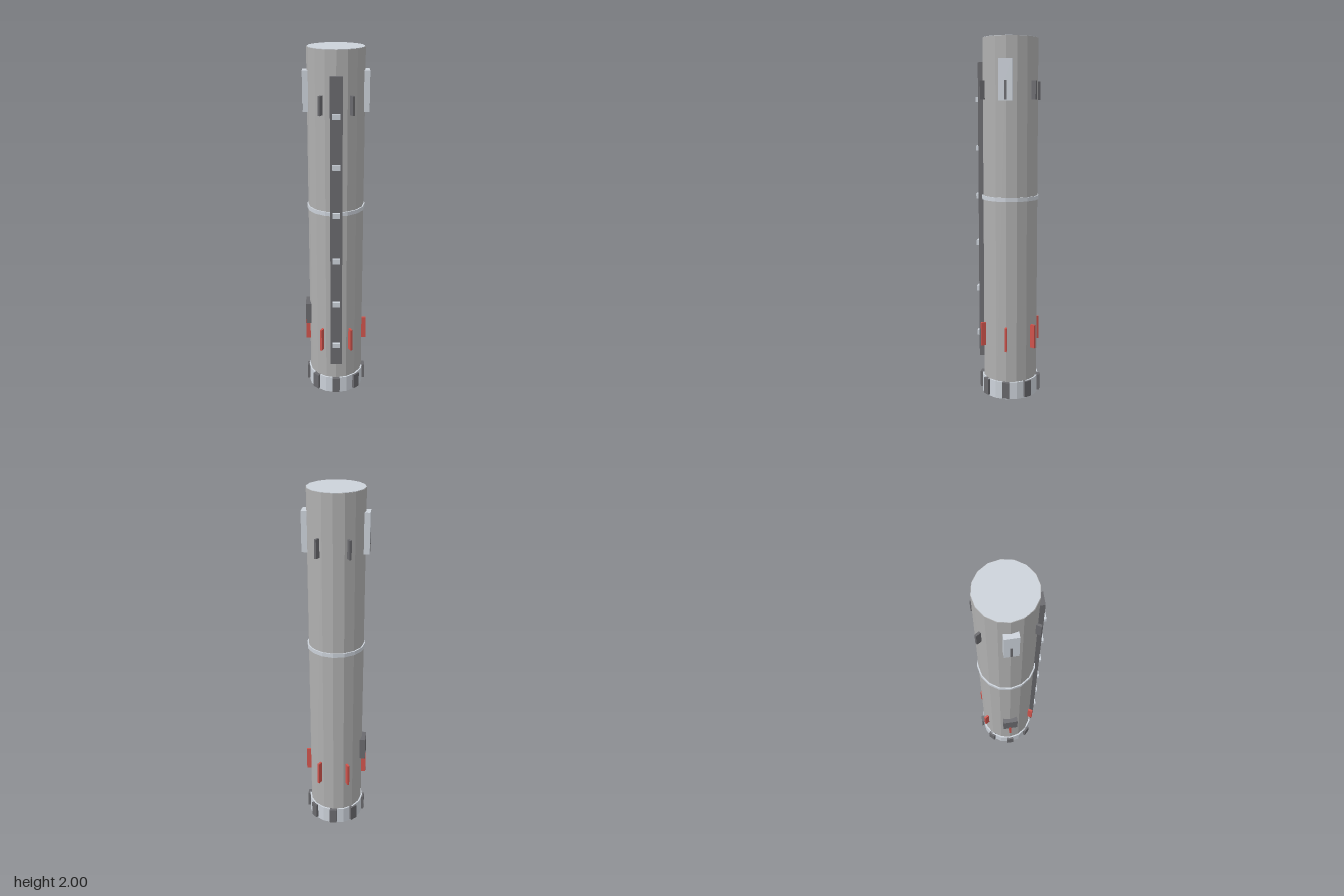
import * as THREE from 'three';

const SIDES = 16;
const AXIS_Z = -0.01; // the tube sits slightly behind centre, the raceway in front
const mat = (color) => new THREE.MeshStandardMaterial({ color, flatShading: true });

export function createModel() {
  const model = new THREE.Group();
  model.name = 'cylindricalStage';
  const stage = new THREE.Group();
  stage.name = 'stage';
  stage.position.z = AXIS_Z;
  model.add(stage);

  const grey = mat(0xb0b0b0);
  const light = mat(0xccd2da);
  const dark = mat(0x6a6a6e);
  const red = mat(0xd0544c);

  // Round part between two heights
  function drum(name, radius, y0, y1, material) {
    const mesh = new THREE.Mesh(new THREE.CylinderGeometry(radius, radius, y1 - y0, SIDES), material);
    mesh.name = name;
    mesh.position.y = (y0 + y1) / 2;
    stage.add(mesh);
  }

  // Box on the tube wall at an angle from the front, spanning radii r0..r1
  function wallBox(name, angle, width, r0, r1, y0, y1, material) {
    const geometry = new THREE.BoxGeometry(width, y1 - y0, r1 - r0);
    geometry.translate(0, (y0 + y1) / 2, (r0 + r1) / 2);
    const mesh = new THREE.Mesh(geometry, material);
    mesh.name = name;
    mesh.rotation.y = angle;
    stage.add(mesh);
  }

  // Tube, end cap, joint ring and base collar
  drum('body', 0.153, 0.02, 1.998, grey);
  drum('topCap', 0.151, 1.98, 2, light);
  drum('jointRing', 0.16, 1.125, 1.147, light);
  drum('baseCollar', 0.162, 0, 0.1, light);

  // Clamp blocks around the collar
  for (let i = 0; i < 8; i++) {
    wallBox('clampBlock', (i * Math.PI) / 4, 0.042, 0.14, 0.172, 0.008, 0.1, dark);
  }

  // Thin fins: a dark upper row and a red lower row
  for (let i = 0; i < 6; i++) {
    const angle = Math.PI / 6 + (i * Math.PI) / 3;
    wallBox('upperFin', angle, 0.012, 0.14, 0.178, 1.67, 1.77, dark);
    wallBox('lowerFin', angle, 0.012, 0.14, 0.178, 0.285, 0.42, red);
  }

  // Light side panels near the top
  for (const side of [1, -1]) {
    wallBox('sidePanel', (side * Math.PI) / 2, 0.075, 0.14, 0.176, 1.665, 1.88, light);
  }

  // Dark equipment box low on one side
  wallBox('equipmentBox', -Math.PI / 2, 0.09, 0.14, 0.176, 0.405, 0.535, dark);

  // Long raceway down the front with its brackets
  wallBox('raceway', 0, 0.066, 0.14, 0.174, 0.205, 1.87, dark);
  for (let i = 0; i < 6; i++) {
    const y = 0.337 + i * 0.267;
    wallBox('racewayBracket', 0, 0.042, 0.16, 0.19, y - 0.014, y + 0.014, light);
  }

  return model;
}
